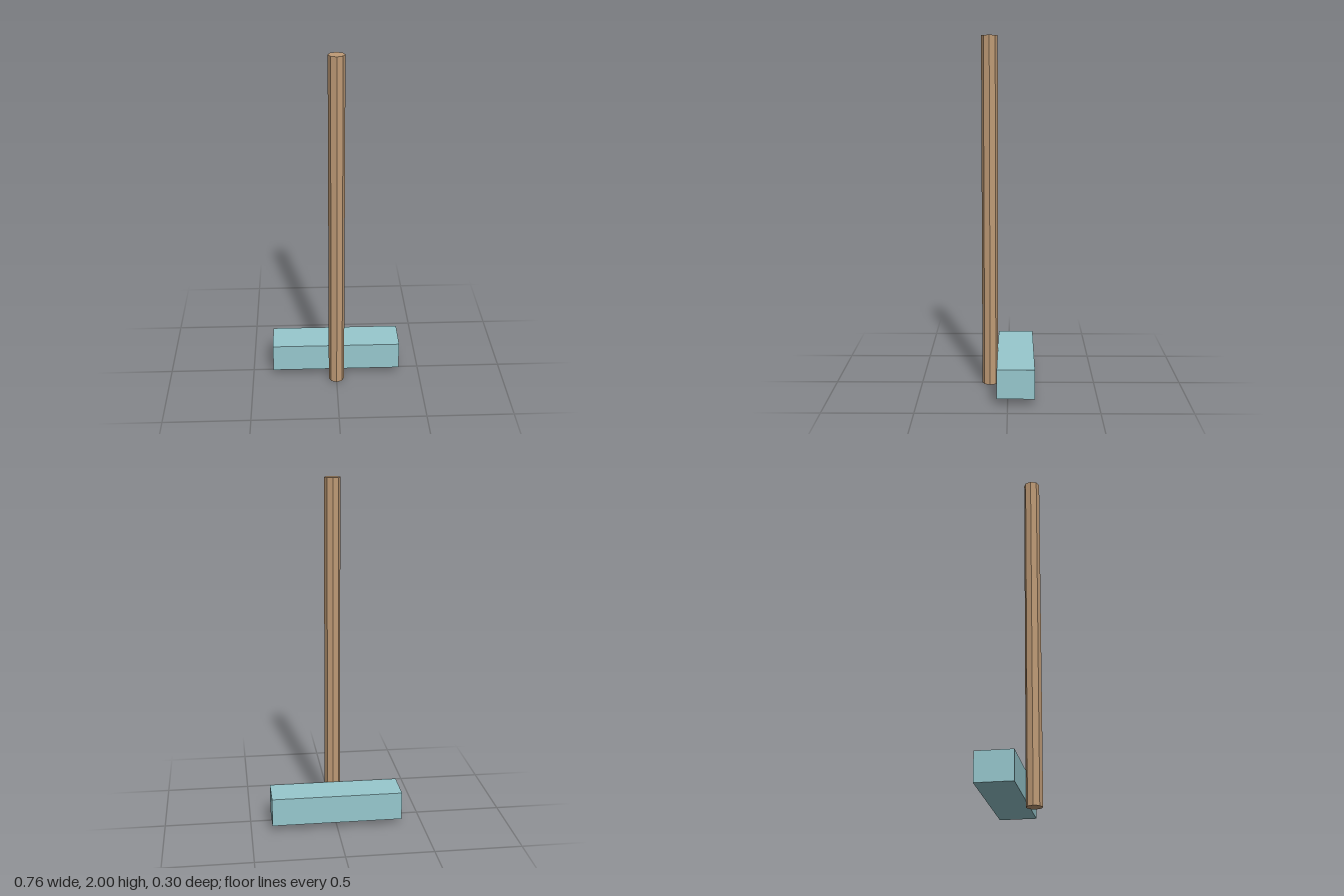
import * as THREE from 'three';

export function createModel() {
  const group = new THREE.Group();
  const wood = new THREE.MeshStandardMaterial({ color: 0xbf9b76, flatShading: true });
  wood.name = 'wood';
  const paleTeal = new THREE.MeshStandardMaterial({ color: 0x97c8ce, flatShading: true });
  paleTeal.name = 'paleTeal';

  // Eight-sided upright handle
  const handle = new THREE.Mesh(new THREE.CylinderGeometry(0.046, 0.046, 2, 8), wood);
  handle.name = 'handle';
  handle.position.set(0, 1, 0.103);

  // Long block behind the foot of the handle
  const head = new THREE.Mesh(new THREE.BoxGeometry(0.758, 0.165, 0.208), paleTeal);
  head.name = 'headBlock';
  head.position.set(0, 0.118, -0.045);

  group.add(handle, head);
  return group;
}
